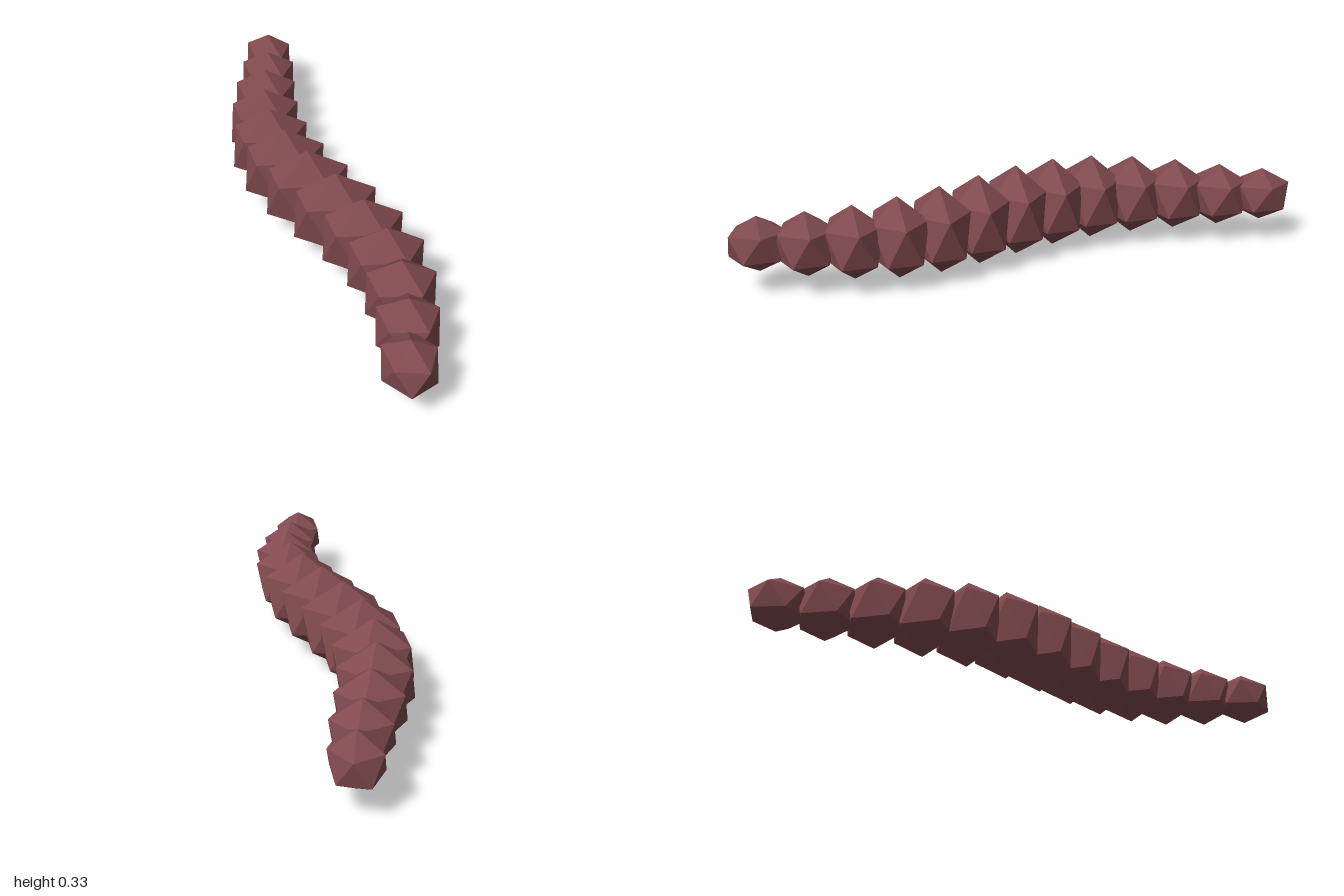
import * as THREE from 'three';

// A wavy low-poly body made of thirteen overlapping segments
export function createModel() {
  const model = new THREE.Group();
  model.name = 'segmentedBody';

  const skin = new THREE.MeshStandardMaterial({ color: 0x804a4e });
  skin.name = 'dullRedSkin';
  skin.flatShading = true;

  // Icosahedron standing on a corner, with an upper corner pointing to +x
  const golden = (1 + Math.sqrt(5)) / 2;
  const facet = new THREE.IcosahedronGeometry(1, 0);
  facet.rotateZ(-Math.atan(1 / golden));

  const count = 13;
  const spacing = 0.1505;
  for (let i = 0; i < count; i++) {
    // Thickest in the middle, tapering to both ends
    const radius = 0.0975 + 0.068 * Math.sin((Math.PI * i) / (count - 1));
    const segment = new THREE.Mesh(facet, skin);
    segment.name = `bodySegment${i + 1}`;
    segment.scale.set(radius, radius, 0.114);
    // Sideways wave from front to back
    segment.position.set(
      0.005 + 0.09 * Math.sin(0.6 * i),
      0.166,
      ((count - 1) / 2 - i) * spacing
    );
    model.add(segment);
  }
  return model;
}
